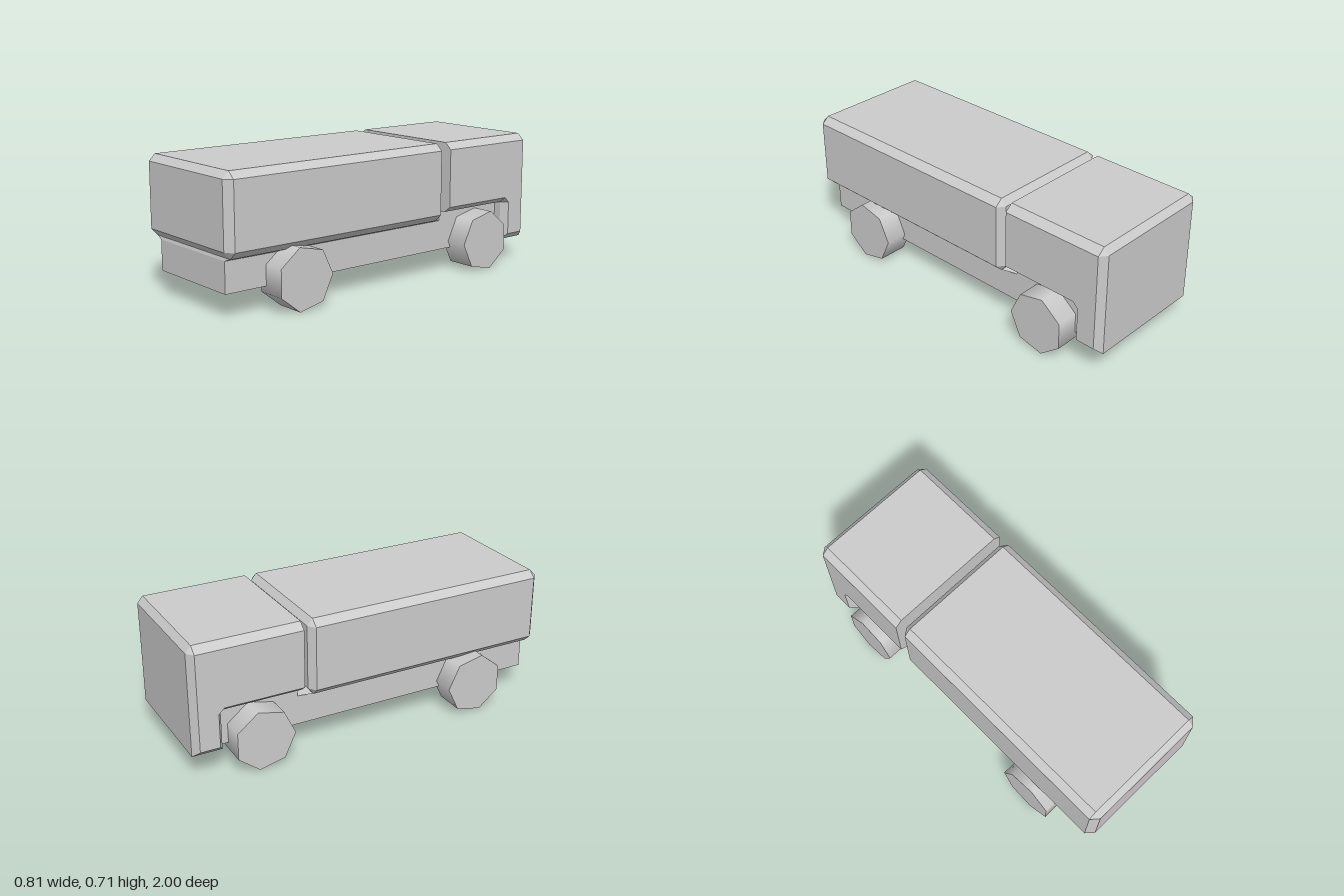
import * as THREE from 'three';
import { ConvexGeometry } from 'three/addons/geometries/ConvexGeometry.js';

const grey = new THREE.MeshStandardMaterial({ color: 0xcccccc });

function add(group, name, geometry, x = 0, y = 0, z = 0) {
  const mesh = new THREE.Mesh(geometry, grey);
  mesh.name = name;
  mesh.position.set(x, y, z);
  group.add(mesh);
  return mesh;
}

// Side profile (-z, y) extruded across x; each row is [inner u, y, outer u, y],
// the outer pair being where the chamfer meets the flat side.
function chamferedBody(rows, halfInner, halfOuter) {
  const shape = new THREE.Shape(rows.map(([u, y]) => new THREE.Vector2(u, y)));
  const geo = new THREE.ExtrudeGeometry(shape, { depth: 3, steps: 3, bevelEnabled: false });
  const pos = geo.attributes.position;
  const layers = [-halfOuter, -halfInner, halfInner, halfOuter];
  for (let i = 0; i < pos.count; i++) {
    const layer = Math.round(pos.getZ(i));
    let u = pos.getX(i), y = pos.getY(i);
    if (layer === 0 || layer === 3) {
      const row = rows.find(r => Math.hypot(r[0] - u, r[1] - y) < 0.001);
      [u, y] = [row[2], row[3]];
    }
    pos.setXYZ(i, u, y, layers[layer]);
  }
  geo.rotateY(Math.PI / 2);
  geo.computeVertexNormals();
  return geo;
}

export function createModel() {
  const truck = new THREE.Group();
  truck.name = 'truck';

  // Long body, chamfered on every edge
  add(truck, 'cargoBody', chamferedBody([
    [-0.965, 0.30, -0.965, 0.338], [0.34, 0.30, 0.34, 0.338],
    [0.37, 0.338, 0.34, 0.338], [0.37, 0.68, 0.34, 0.68],
    [0.34, 0.715, 0.34, 0.68], [-0.965, 0.715, -0.965, 0.68],
    [-1, 0.68, -0.965, 0.68], [-1, 0.338, -0.965, 0.338],
  ], 0.327, 0.367));

  // Cab with wheel cut-outs, flat where it faces the long body
  add(truck, 'cab', chamferedBody([
    [0.84, 0.125, 0.865, 0.16], [1, 0.125, 0.97, 0.16],
    [1, 0.68, 0.97, 0.68], [0.97, 0.715, 0.97, 0.68],
    [0.405, 0.715, 0.405, 0.68], [0.405, 0.34, 0.405, 0.37],
    [0.837, 0.34, 0.835, 0.37], [0.84, 0.337, 0.865, 0.34],
  ], 0.327, 0.367));

  // Chassis beam, raised under the cab
  add(truck, 'chassis', new THREE.BoxGeometry(0.57, 0.16, 1.82), 0, 0.205, 0.06);
  add(truck, 'cabFloor', new THREE.BoxGeometry(0.57, 0.22, 0.44), 0, 0.235, -0.627);

  // Thin flare joining the chassis to the long body
  const corners = [];
  for (const s of [-1, 1]) {
    for (const [x, y, z] of [
      [0.285, 0.285, -0.405], [0.285, 0.285, 0.97],
      [0.327, 0.302, -0.34], [0.327, 0.302, 0.965],
    ]) corners.push(new THREE.Vector3(s * x, y, z));
  }
  add(truck, 'bodyMount', new ConvexGeometry(corners));

  // Seven-sided wheels, flat side towards the nearer end
  const wheel = new THREE.CylinderGeometry(0.164, 0.164, 0.162, 7).rotateZ(Math.PI / 2);
  for (const [side, s] of [['Left', 1], ['Right', -1]]) {
    add(truck, `front${side}Wheel`, wheel, s * 0.326, 0.16, 0.588).rotation.y = Math.PI;
    add(truck, `back${side}Wheel`, wheel, s * 0.326, 0.16, -0.643);
  }
  return truck;
}
